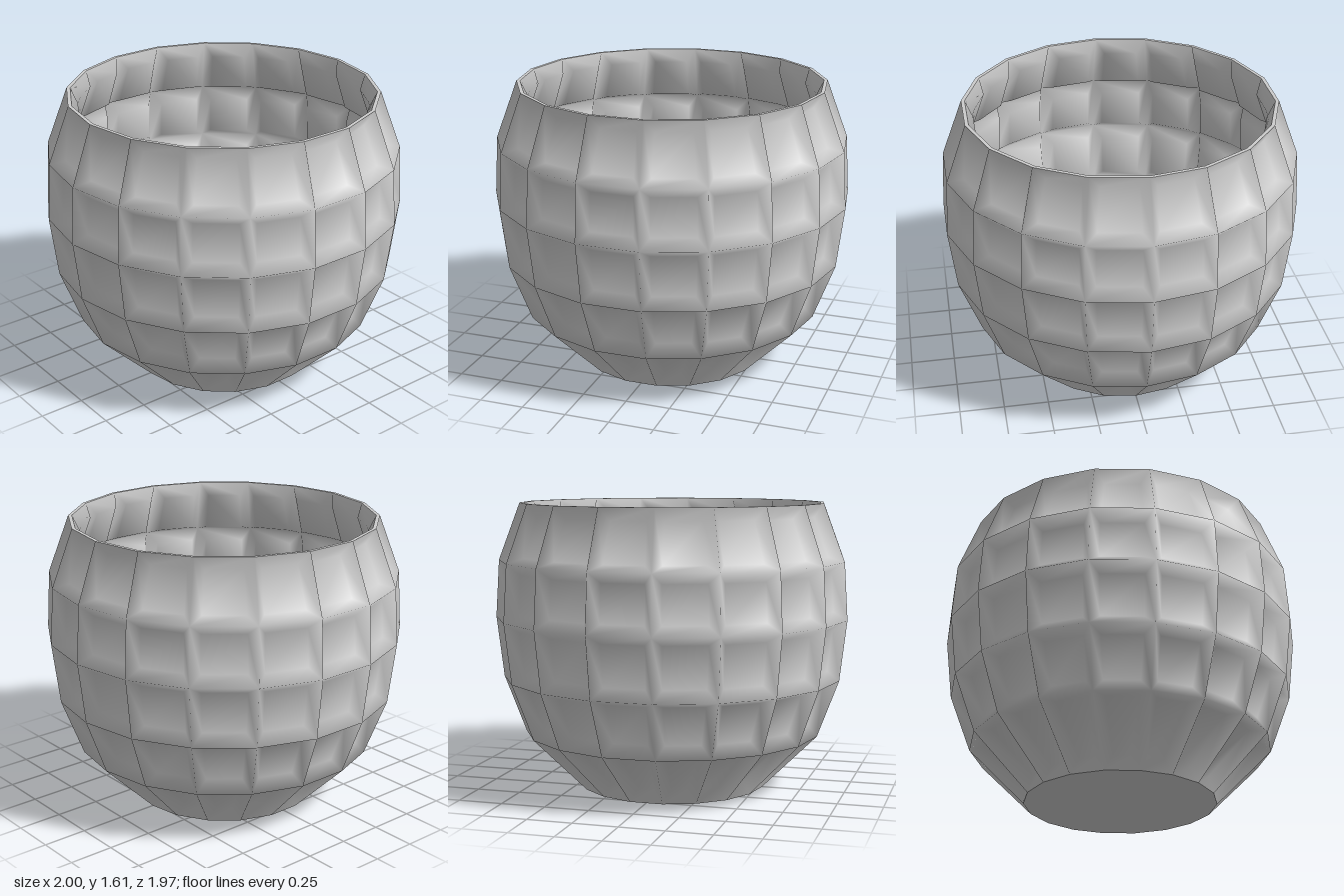
import * as THREE from 'three';

const SIDES = 18;
const WALL = 0.02;    // shell thickness
const BORDER = 0.055; // width of the bevel around each panel
const DEPTH = 0.06;   // how far each panel is pressed in

// Rings of the bowl from foot to rim: [radius, height]
const RINGS = [[0.53, 0], [0.84, 0.31], [0.96, 0.63], [1.0, 0.97], [0.98, 1.29], [0.86, 1.61]];

const material = new THREE.MeshStandardMaterial({ color: 0xcccccc });

// Faceted wall with a sunken panel in every cell; inward turns the faces to the inside
function panelledWall(rings, inward) {
  const points = [];
  const index = [];
  const quad = (a, b, c, d) => {
    if (inward) index.push(a, c, b, a, d, c);
    else index.push(a, b, c, a, c, d);
  };

  for (const [r, y] of rings) {
    for (let i = 0; i < SIDES; i++) {
      const t = (i / SIDES) * Math.PI * 2;
      points.push(new THREE.Vector3(r * Math.cos(t), y, r * Math.sin(t)));
    }
  }

  for (let j = 0; j < rings.length - 1; j++) {
    for (let i = 0; i < SIDES; i++) {
      const k = (i + 1) % SIDES;
      const outer = [j * SIDES + k, j * SIDES + i, (j + 1) * SIDES + i, (j + 1) * SIDES + k];
      const [a, b, c, d] = outer.map((n) => points[n]);
      const normal = b.clone().sub(a).cross(d.clone().sub(a)).normalize();
      const v = BORDER / a.distanceTo(d);
      const first = points.length;
      for (const [right, up] of [[0, 0], [1, 0], [1, 1], [0, 1]]) {
        const fy = up ? 1 - v : v;
        const p = a.clone().lerp(d, fy);
        const q = b.clone().lerp(c, fy);
        const u = BORDER / p.distanceTo(q);
        points.push(p.lerp(q, right ? 1 - u : u).addScaledVector(normal, -DEPTH));
      }
      for (let e = 0; e < 4; e++) {
        const n = (e + 1) % 4;
        quad(outer[e], outer[n], first + n, first + e);
      }
      quad(first, first + 1, first + 2, first + 3);
    }
  }

  const geometry = new THREE.BufferGeometry().setFromPoints(points);
  geometry.setIndex(index);
  geometry.computeVertexNormals();
  return geometry;
}

export function createModel() {
  const group = new THREE.Group();
  group.name = 'panelledBowl';
  const add = (name, geometry) => {
    const mesh = new THREE.Mesh(geometry, material);
    mesh.name = name;
    group.add(mesh);
  };

  // Outer and inner skins of the shell
  const last = RINGS.length - 1;
  const innerRings = RINGS.map(([r, y], j) => [r - WALL, j === 0 ? WALL : y]);
  add('outerWall', panelledWall(RINGS, false));
  add('innerWall', panelledWall(innerRings, true));

  // Thin flat lip joining the skins
  const [rimRadius, rimHeight] = RINGS[last];
  add('rim', new THREE.RingGeometry(rimRadius - WALL, rimRadius, SIDES)
    .rotateX(-Math.PI / 2).translate(0, rimHeight, 0));

  // Underside and inside floor
  add('base', new THREE.CircleGeometry(RINGS[0][0], SIDES).rotateX(Math.PI / 2));
  add('floor', new THREE.CircleGeometry(innerRings[0][0], SIDES)
    .rotateX(-Math.PI / 2).translate(0, WALL, 0));

  return group;
}
